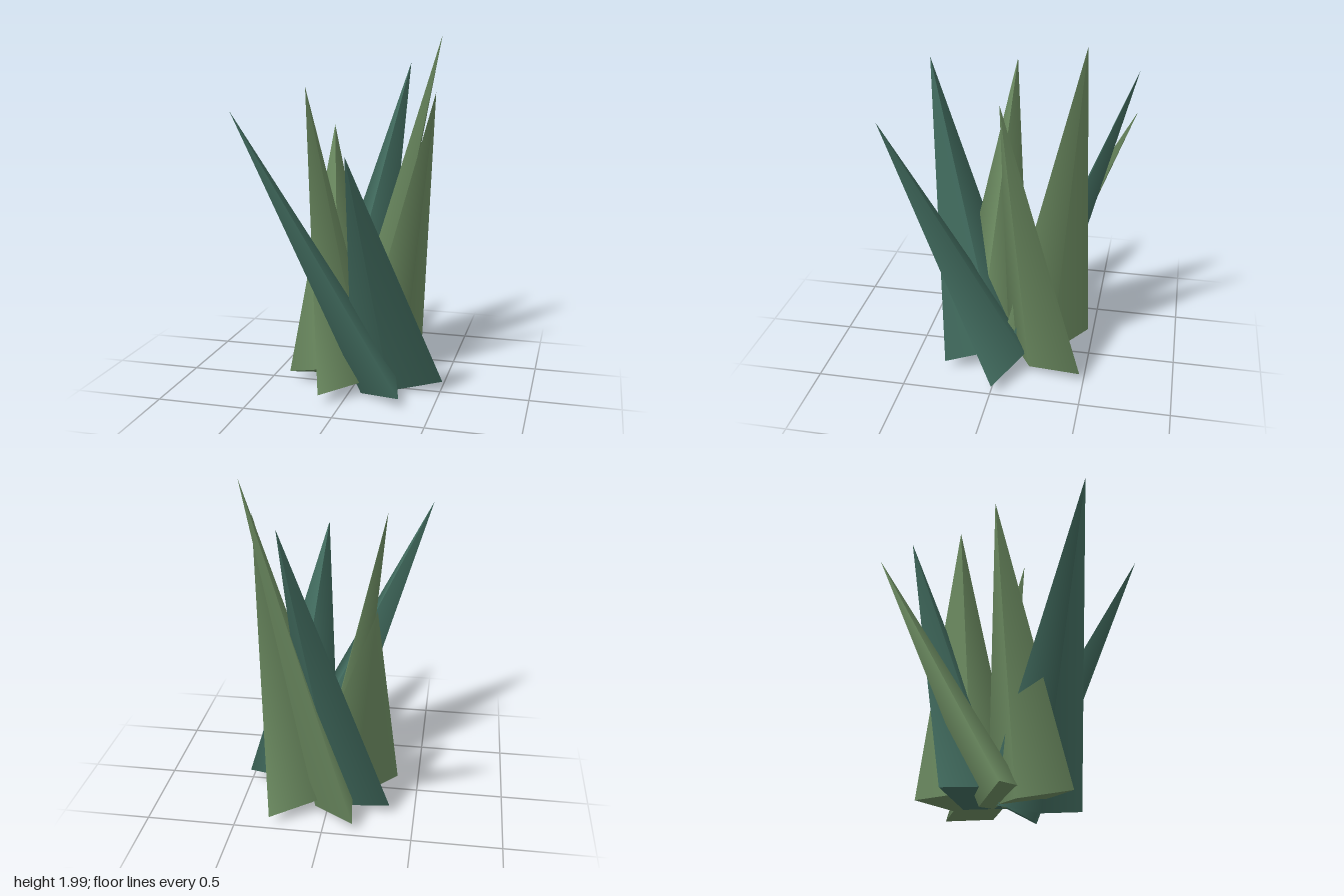
import * as THREE from 'three';

const BASE_Y = 0.065;      // height of each blade's base centre
const HALF_WIDTH = 0.28;   // half width across the blade
const HALF_DEPTH = 0.12;   // half thickness through the blade

// Each blade: tip position, base centre on the ground ring (x, z), colour
const BLADES = [
  { tip: [0.13, 1.44, 0.70], base: [0.233, -0.048], color: 'teal' },
  { tip: [-0.51, 1.63, 0.56], base: [0.155, 0.074], color: 'teal' },
  { tip: [-0.29, 1.72, -0.01], base: [-0.015, 0.10], color: 'green' },
  { tip: [-0.31, 1.44, -0.69], base: [-0.112, -0.03], color: 'green' },
  { tip: [0.17, 1.83, -0.71], base: [-0.108, -0.145], color: 'teal' },
  { tip: [0.40, 2.0, -0.47], base: [-0.033, -0.23], color: 'green' },
  { tip: [0.44, 1.70, -0.05], base: [0.146, -0.245], color: 'green' },
];

// Flattened four-sided spike leaning from its base centre to its tip
function makeBlade({ tip, base, color }, materials) {
  const foot = new THREE.Vector3(base[0], BASE_Y, base[1]);
  const axis = new THREE.Vector3(...tip).sub(foot);
  const height = axis.length();
  const geometry = new THREE.ConeGeometry(1, height, 4);
  geometry.translate(0, height / 2, 0);

  // the wide direction stays level, square to the lean
  const up = axis.clone().normalize();
  const side = new THREE.Vector3(axis.z, 0, -axis.x).normalize();
  const front = new THREE.Vector3().crossVectors(side, up);

  const blade = new THREE.Mesh(geometry, materials[color]);
  blade.quaternion.setFromRotationMatrix(new THREE.Matrix4().makeBasis(side, up, front));
  blade.scale.set(HALF_WIDTH, 1, HALF_DEPTH);
  blade.position.copy(foot);
  return blade;
}

export function createModel() {
  const materials = {
    green: new THREE.MeshStandardMaterial({ color: 0x6b8a60 }),
    teal: new THREE.MeshStandardMaterial({ color: 0x416b5e }),
  };
  materials.green.name = 'leaf green';
  materials.teal.name = 'leaf teal';

  const plant = new THREE.Group();
  plant.name = 'spikyPlant';
  BLADES.forEach((spec, i) => {
    const blade = makeBlade(spec, materials);
    blade.name = `leafBlade${i + 1}`;
    plant.add(blade);
  });
  return plant;
}
